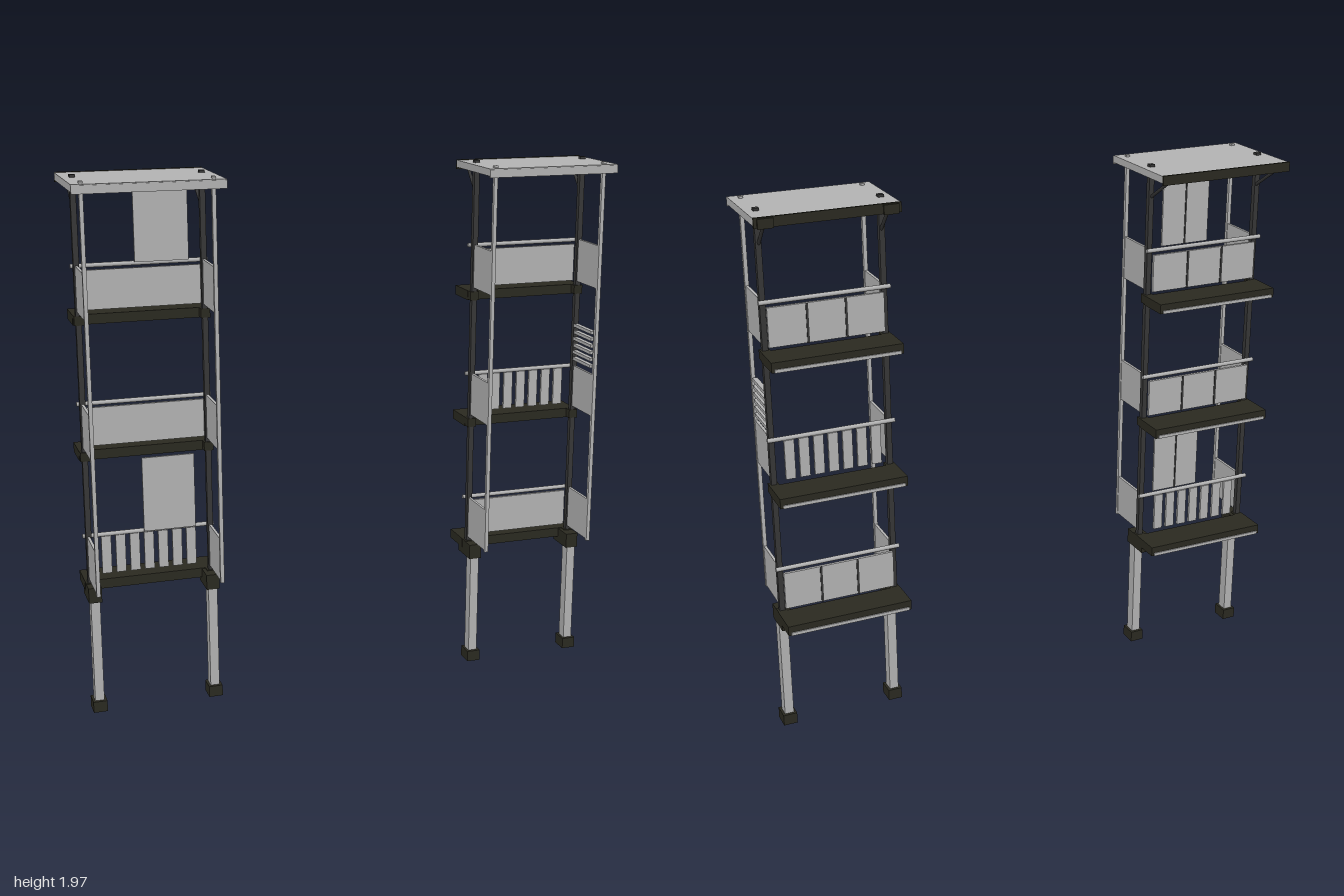
import * as THREE from 'three';

const steel = new THREE.MeshStandardMaterial({ color: 0xb2b2b2 });
steel.name = 'light grey steel';
const black = new THREE.MeshStandardMaterial({ color: 0x2a2920 });
black.name = 'dark timber';
const charcoal = new THREE.MeshStandardMaterial({ color: 0x363636 });
charcoal.name = 'charcoal metal';

// box given by its minimum and maximum on each axis
function box(parent, name, mat, x0, x1, y0, y1, z0, z1) {
  const mesh = new THREE.Mesh(new THREE.BoxGeometry(x1 - x0, y1 - y0, z1 - z0), mat);
  mesh.position.set((x0 + x1) / 2, (y0 + y1) / 2, (z0 + z1) / 2);
  mesh.name = name;
  parent.add(mesh);
  return mesh;
}

// round bar between two points
function bar(parent, name, mat, a, b, radius) {
  const from = new THREE.Vector3(...a), to = new THREE.Vector3(...b);
  const dir = to.clone().sub(from);
  const mesh = new THREE.Mesh(new THREE.CylinderGeometry(radius, radius, dir.length(), 10), mat);
  mesh.position.copy(from).add(to).multiplyScalar(0.5);
  mesh.quaternion.setFromUnitVectors(new THREE.Vector3(0, 1, 0), dir.normalize());
  mesh.name = name;
  parent.add(mesh);
}

function createTower(o) {
  const t = new THREE.Group();
  t.name = o.name;
  t.position.x = o.x;
  const w = o.half;

  // roof slab with a dark rear fascia
  box(t, 'roof', steel, -o.roof, o.roof, 1.937, 1.963, o.roofBack + 0.008, 0.183);
  box(t, 'roofFrontTrim', steel, -o.roof, o.roof, 1.931, 1.96, 0.178, 0.187);
  box(t, 'roofFascia', black, -o.roof, o.roof, 1.93, 1.965, o.roofBack, o.roofBack + 0.008);

  for (const s of [-1, 1]) {
    // legs, feet and leg brackets
    const lx = s * (w - 0.007);
    box(t, 'leg', steel, lx - 0.017, lx + 0.017, 0.035, 0.45, -0.018, 0.024);
    box(t, 'foot', black, lx - 0.026, lx + 0.026, 0, 0.042, -0.029, 0.036);
    box(t, 'legBracket', black, lx - 0.024, lx + 0.024, 0.43, 0.487, -0.084, 0.029);

    // upright posts
    box(t, 'rearPost', charcoal, s * w - 0.01, s * w + 0.01, 0.48, 1.972, -0.042, -0.022);
    box(t, 'frontPost', steel, s * w - 0.007, s * w + 0.007, 0.5, 1.97, 0.139, 0.153);

    // brace under the roof overhang
    bar(t, 'roofBrace', charcoal, [s * (w - 0.002), 1.853, -0.038], [s * (w - 0.002), 1.938, o.roofBack + 0.02], 0.006);
    if (o.clips) {
      box(t, 'roofClip', black, s * w - 0.027, s * w + 0.027, 1.928, 1.962, o.roofBack - 0.008, o.roofBack);
    }
  }

  [0.49, 0.987, 1.482].forEach((y, level) => {
    // shelf with a light strip along its back edge
    const e = w + 0.018;
    box(t, 'shelf', black, -e, e, y - 0.036, y, -0.168, -0.046);
    box(t, 'shelfStrip', steel, -e + 0.01, e - 0.01, y - 0.036, y - 0.024, -0.172, -0.167);
    for (const s of [-1, 1]) {
      box(t, 'postCollar', black, s * w - 0.017, s * w + 0.017, y - 0.033, y, -0.05, -0.018);
      // side panel
      box(t, 'sidePanel', steel, s * w - 0.005, s * w + 0.005, y + 0.015, y + 0.177, -0.024, 0.14);
    }

    // top rail and its brackets
    bar(t, 'rail', steel, [-e, y + 0.172, -0.052], [e, y + 0.172, -0.052], 0.008);
    for (const s of [-1, 1]) {
      box(t, 'railBracket', steel, s * w - 0.007, s * w + 0.007, y + 0.167, y + 0.177, -0.058, -0.03);
    }

    // rear infill: seven slats or a panel in three bays
    if (level === o.slatLevel) {
      for (let i = -3; i <= 3; i++) {
        const cx = i * 0.0528;
        box(t, 'slat', steel, cx - 0.018, cx + 0.018, y + 0.02, y + 0.166, -0.061, -0.051);
      }
    } else {
      const p = w - 0.008;
      box(t, 'backPanel', steel, -p, p, y + 0.014, y + 0.155, -0.061, -0.05);
      for (const s of [-1, 1]) {
        box(t, 'panelJoint', charcoal, s * p / 3 - 0.004, s * p / 3 + 0.004, y + 0.014, y + 0.155, -0.064, -0.06);
      }
    }
  });

  // tall two-leaf screens above the rails
  for (const [y0, y1] of o.screens) {
    box(t, 'tallScreen', steel, -0.021, 0.172, y0, y1, -0.036, -0.028);
    box(t, 'screenJoint', charcoal, 0.073, 0.079, y0, y1, -0.039, -0.035);
  }

  // side louvres
  for (let i = 0; i < o.louvres; i++) {
    const y = 1.193 + i * 0.0262;
    box(t, 'louvre', steel, w - 0.009, w + 0.009, y - 0.006, y + 0.006, -0.025, 0.122);
  }
  return t;
}

export function createModel() {
  const model = new THREE.Group();
  model.name = 'twinTowers';
  model.add(
    createTower({
      name: 'rightTower', x: -0.735, half: 0.226, roof: 0.264, roofBack: -0.19,
      slatLevel: 0, screens: [[0.665, 0.945], [1.66, 1.938]], louvres: 0, clips: false,
    }),
    createTower({
      name: 'leftTower', x: 0.745, half: 0.215, roof: 0.253, roofBack: -0.135,
      slatLevel: 1, screens: [], louvres: 6, clips: true,
    }),
  );
  return model;
}
